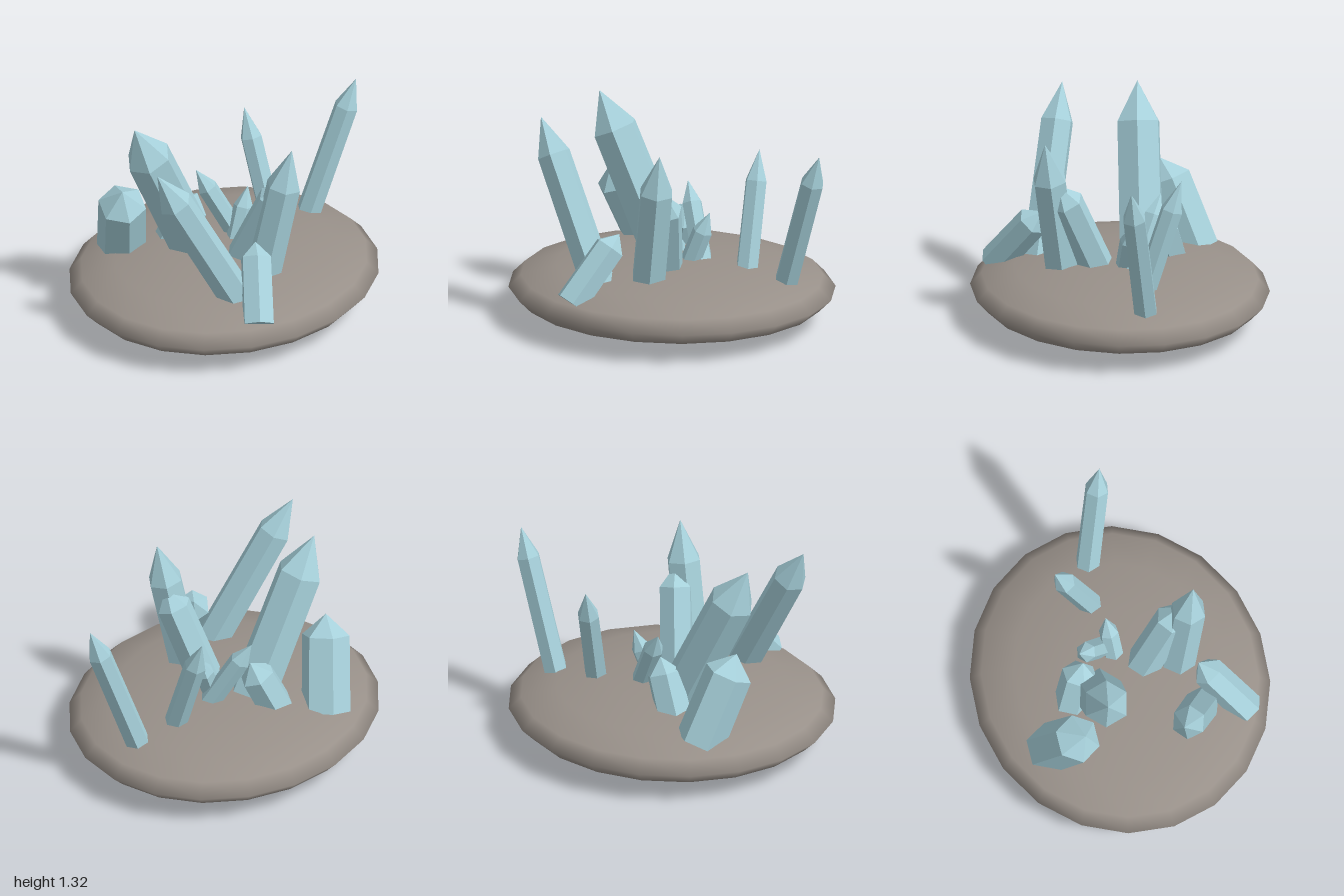
import * as THREE from 'three';

const crystalBlue = new THREE.MeshStandardMaterial({ color: 0xa6d0da });
crystalBlue.name = 'crystalBlue';
const rockGrey = new THREE.MeshStandardMaterial({ color: 0x989089 });
rockGrey.name = 'rockGrey';

// Six-sided shaft with a pointed cap, running from base to tip
function crystal(name, base, tip, radius, cap, turn = 0) {
  const from = new THREE.Vector3(...base);
  const axis = new THREE.Vector3(...tip).sub(from);
  const length = axis.length();
  const profile = [
    [0, 0],
    [radius, 0],
    [radius * 0.97, length - cap],
    [0, length],
  ].map(([r, y]) => new THREE.Vector2(r, y));
  const geometry = new THREE.LatheGeometry(profile, 6, turn).toNonIndexed();
  geometry.computeVertexNormals();
  const mesh = new THREE.Mesh(geometry, crystalBlue);
  mesh.name = name;
  mesh.position.copy(from);
  mesh.quaternion.setFromUnitVectors(new THREE.Vector3(0, 1, 0), axis.normalize());
  return mesh;
}

export function createModel() {
  const group = new THREE.Group();
  group.name = 'crystalCluster';

  // Flattened boulder the crystals grow from
  const rockGeometry = new THREE.SphereGeometry(1, 20, 8);
  rockGeometry.scale(1, 0.2, 0.9);
  rockGeometry.translate(0, 0.2, 0);
  const rock = new THREE.Mesh(rockGeometry, rockGrey);
  rock.name = 'rockBase';
  group.add(rock);

  // name, base, tip, radius, cap length, turn about its own axis
  const crystals = [
    ['tallBackCrystal', [-0.08, 0.33, -0.16], [-0.53, 1.32, -0.26], 0.147, 0.25, 0.2],
    ['tallLeftCrystal', [-0.33, 0.28, 0.42], [-0.785, 1.26, 0.14], 0.108, 0.24, 0.1],
    ['tallFrontCrystal', [-0.05, 0.32, 0.35], [0.06, 1.2, 0.49], 0.112, 0.25, 0.3],
    ['rightEdgeCrystal', [0.72, 0.27, 0.04], [0.985, 1.19, 0.21], 0.077, 0.19, 0.25],
    ['rightCrystal', [0.465, 0.31, -0.01], [0.48, 1.04, -0.25], 0.071, 0.19, 0.35],
    ['rearCrystal', [-0.3, 0.28, -0.56], [-0.49, 0.82, -0.39], 0.152, 0.13, 0.5],
    ['frontLowCrystal', [-0.45, 0.27, 0.66], [-0.21, 0.66, 0.43], 0.102, 0.1, 0.3],
    ['innerFrontCrystal', [0.0, 0.33, 0.14], [0.07, 0.93, 0.41], 0.11, 0.13, 0.1],
    ['middleCrystal', [-0.09, 0.32, -0.34], [0.02, 0.65, -0.23], 0.115, 0.1, 0.4],
    ['slenderCrystal', [0.19, 0.33, -0.03], [0.03, 0.8, -0.25], 0.065, 0.14, 0.2],
    ['smallCrystal', [0.1, 0.33, 0.0], [0.235, 0.69, -0.01], 0.063, 0.13, 0.5],
  ];
  for (const spec of crystals) group.add(crystal(...spec));

  return group;
}
